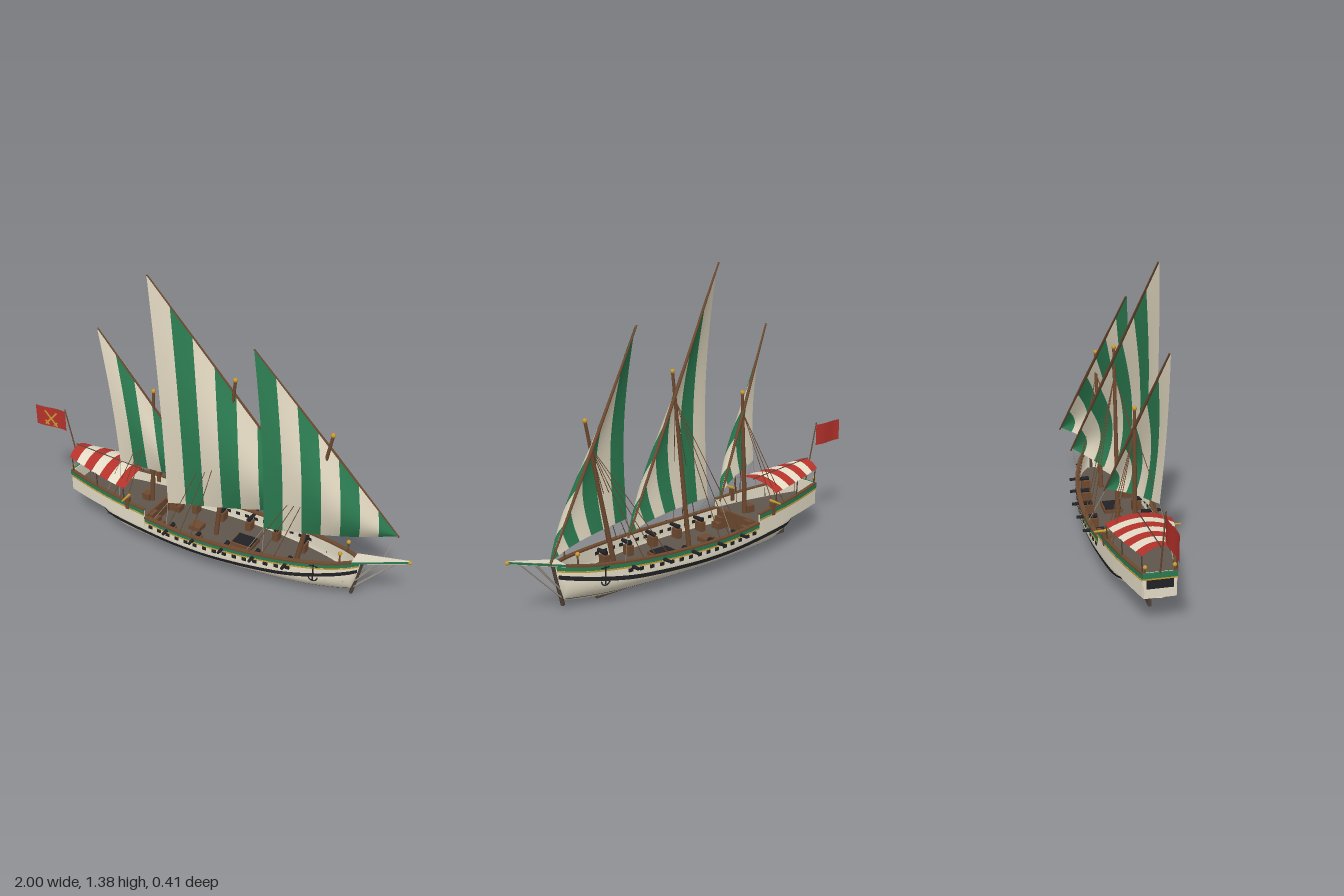
import * as THREE from 'three';

const mat = (name, color, side = THREE.FrontSide) => {
  const m = new THREE.MeshStandardMaterial({ color, side });
  m.name = name;
  return m;
};
const D = THREE.DoubleSide;
const V = (x, y, z) => new THREE.Vector3(x, y, z);

// Smooth monotone interpolation through a short table of [x, value]
function curve(t) {
  const n = t.length, d = [], m = [];
  for (let i = 0; i < n - 1; i++) d.push((t[i + 1][1] - t[i][1]) / (t[i + 1][0] - t[i][0]));
  for (let i = 0; i < n; i++) {
    const a = d[Math.max(0, i - 1)], b = d[Math.min(n - 2, i)];
    m.push(a * b <= 0 ? 0 : 2 * a * b / (a + b));
  }
  return (x) => {
    x = Math.min(Math.max(x, t[0][0]), t[n - 1][0]);
    let i = 0;
    while (i < n - 2 && x > t[i + 1][0]) i++;
    const h = t[i + 1][0] - t[i][0], s = (x - t[i][0]) / h, q = s * s, c = q * s;
    return (2 * c - 3 * q + 1) * t[i][1] + (c - 2 * q + s) * h * m[i] + (3 * q - 2 * c) * t[i + 1][1] + (c - q) * h * m[i + 1];
  };
}

// Hull lines: half beam, keel height, rail height, poop rail height
const beam = curve([[-0.75, 0.065], [-0.6, 0.102], [-0.45, 0.13], [-0.26, 0.151], [-0.1, 0.163], [0.05, 0.167], [0.2, 0.16], [0.4, 0.137], [0.55, 0.106], [0.65, 0.075], [0.72, 0.042], [0.77, 0.006]]);
const keelY = curve([[-0.75, 0.14], [-0.62, 0.127], [-0.55, 0.105], [-0.5, 0.06], [-0.45, 0.03], [-0.38, 0.01], [0.52, 0.01], [0.64, 0.022], [0.735, 0.045], [0.77, 0.16]]);
const rail = curve([[-0.75, 0.2], [-0.26, 0.175], [0, 0.166], [0.3, 0.171], [0.6, 0.186], [0.77, 0.203]]);
const poop = (x) => 0.25 - (x + 0.75) * 0.061;
const wale = curve([[-0.56, 0.114], [0, 0.088], [0.4, 0.1], [0.76, 0.15]]);
const width = (x, y) => {
  const s = Math.min(1, Math.max(0, (y - keelY(x)) / (0.6 * (rail(x) - keelY(x)))));
  return beam(x) * Math.pow(1 - (1 - s) * (1 - s), 0.75);
};
const steps = (a, b, n) => Array.from({ length: n + 1 }, (_, i) => a + (b - a) * i / n);

// Skin over a row of cross-sections
function skin(rings, { closed = false, flat = false, stripes = 0 } = {}) {
  const n = rings[0].length, idx = [], span = closed ? n : n - 1;
  for (let i = 0; i < rings.length - 1; i++)
    for (let j = 0; j < span; j++) {
      const a = i * n + j, b = i * n + (j + 1) % n;
      idx.push(a, b, a + n, b, b + n, a + n);
    }
  if (closed) for (const o of [0, (rings.length - 1) * n])
    for (let j = 1; j < n - 1; j++) idx.push(o, o + j, o + j + 1);
  let g = new THREE.BufferGeometry().setFromPoints(rings.flat());
  g.setIndex(idx);
  if (flat) g = g.toNonIndexed();
  g.computeVertexNormals();
  if (stripes) {
    const per = (rings.length - 1) / stripes * span * 6;
    for (let k = 0; k < stripes; k++) g.addGroup(k * per, per, k % 2);
  }
  return g;
}

export function createModel() {
  const root = new THREE.Group();
  root.name = 'sailingShip';
  const hullCream = mat('hullCream', 0xe4dcc6, D), sailCream = mat('sailCream', 0xddd4bd, D);
  const green = mat('green', 0x2b7a50, D), red = mat('red', 0xb5322b, D);
  const wood = mat('wood', 0x6e4a30, D), darkWood = mat('darkWood', 0x4f4338, D);
  const black = mat('black', 0x222226, D), gold = mat('gold', 0xc99a32, D);
  const deckMat = mat('deck', 0x5f554d, D), rope = mat('rope', 0xa0988a);

  const add = (name, g, m) => {
    const o = new THREE.Mesh(g, m);
    o.name = name;
    root.add(o);
    return o;
  };
  const box = (name, m, x, y, z, w, h, d) => {
    const o = add(name, new THREE.BoxGeometry(w, h, d), m);
    o.position.set(x, y, z);
    return o;
  };
  const ball = (name, m, x, y, z, r) => add(name, new THREE.SphereGeometry(r, 10, 8), m).position.set(x, y, z);
  const rod = (name, m, a, b, r0, r1 = r0, seg = 6) => {
    const o = add(name, new THREE.CylinderGeometry(r1, r0, a.distanceTo(b), seg), m);
    o.position.copy(a).lerp(b, 0.5);
    o.quaternion.setFromUnitVectors(V(0, 1, 0), b.clone().sub(a).normalize());
  };
  const both = (f) => [1, -1].forEach(f);

  // Painted band following both hull sides
  const band = (name, m, x0, x1, lo, hi, off) => both((s) => add(name, skin(steps(x0, x1, 48).map((x) =>
    [lo, hi].map((f) => V(x, f(x), s * (width(x, f(x)) + off))))), m));
  // Solid rail with a rectangular section along both sides
  const beamRail = (name, m, x0, x1, lo, hi, inn, out) => both((s) => add(name, skin(steps(x0, x1, 40).map((x) => {
    const w = width(x, hi(x)), i = s * Math.max(0, w + inn), o = s * (w + out);
    return [V(x, lo(x), i), V(x, lo(x), o), V(x, hi(x), o), V(x, hi(x), i)];
  }), { closed: true, flat: true }), m));
  const deck = (name, m, x0, x1, y) => add(name, skin(steps(x0, x1, 30).map((x) => {
    const w = width(x, y);
    return [V(x, y, w), V(x, y, -w)];
  })), m);

  // Hull shell
  add('hull', skin(steps(-0.75, 0.77, 90).map((x) => {
    const k = keelY(x), r = rail(x);
    return steps(-1, 1, 28).map((t) => {
      const y = k + (r - k) * Math.pow(Math.abs(t), 1.6);
      return V(x, y, Math.sign(t) * width(x, y));
    });
  })), hullCream);
  band('wale', black, -0.54, 0.762, (x) => wale(x) - 0.005, (x) => wale(x) + 0.014, 0.004);
  band('lowerLine', darkWood, -0.46, 0.73, () => 0.046, () => 0.05, 0.002);
  band('greenBand', green, -0.26, 0.768, (x) => rail(x) - 0.018, rail, 0.004);
  band('goldBand', gold, -0.26, 0.768, (x) => rail(x) - 0.025, (x) => rail(x) - 0.018, 0.005);
  beamRail('railCap', wood, -0.26, 0.768, rail, (x) => rail(x) + 0.008, -0.014, 0.007);
  box('keel', darkWood, 0.09, 0.007, 0, 0.96, 0.014, 0.014);
  rod('stem', darkWood, V(0.737, 0.02, 0), V(0.778, 0.205, 0), 0.009);
  box('rudder', darkWood, -0.56, 0.075, 0, 0.058, 0.13, 0.014);

  // Decks and poop
  deck('mainDeck', deckMat, -0.28, 0.745, 0.098);
  deck('poopDeck', deckMat, -0.745, -0.262, 0.178);
  beamRail('poopSide', hullCream, -0.745, -0.26, (x) => 0.146 - (x + 0.75) * 0.03, poop, -0.004, 0.004);
  band('poopGreenBand', green, -0.748, -0.26, (x) => poop(x) - 0.022, poop, 0.006);
  band('poopGoldBand', gold, -0.748, -0.26, (x) => poop(x) - 0.03, (x) => poop(x) - 0.022, 0.007);
  beamRail('poopCap', wood, -0.748, -0.26, poop, (x) => poop(x) + 0.006, -0.01, 0.008);
  box('poopBulkhead', wood, -0.264, 0.138, 0, 0.01, 0.084, 0.28);
  box('transom', hullCream, -0.744, 0.198, 0, 0.01, 0.11, 0.134);
  box('transomBand', green, -0.748, 0.242, 0, 0.008, 0.024, 0.142);
  box('transomPanel', black, -0.748, 0.206, 0, 0.006, 0.042, 0.11);
  box('transomGold', gold, -0.748, 0.228, 0, 0.009, 0.006, 0.142);

  // Beakhead
  const beak = (x) => { const t = (x - 0.74) / 0.245; return [0.2 + 0.07 * t, 0.034 * (1 - t) + 0.004]; };
  const beakSlab = (name, m, lo, hi, grow) => add(name, skin([0.74, 0.985].map((x) => {
    const [y, w] = beak(x), z = w + grow;
    return [V(x, y + lo, z), V(x, y + hi, z), V(x, y + hi, -z), V(x, y + lo, -z)];
  }), { closed: true, flat: true }), m);
  beakSlab('beak', hullCream, 0, 0.013, -0.001);
  beakSlab('beakSide', green, 0.002, 0.011, 0.001);
  ball('beakTip', gold, 0.986, 0.275, 0, 0.009);
  both((s) => {
    rod('bobstay', rope, V(0.748, 0.06, s * 0.006), V(0.93, 0.254, s * 0.006), 0.003);
    rod('beakBrace', rope, V(0.755, 0.1, s * 0.01), V(0.86, 0.235, s * 0.016), 0.003);
  });

  // Guns, oar ports and bulwark fittings
  both((s) => {
    for (const x of [-0.13, 0.015, 0.165, 0.315, 0.465]) {
      const w = width(x, 0.16);
      rod('cannon', black, V(x, 0.156, s * (w - 0.06)), V(x, 0.156, s * (w + 0.037)), 0.011, 0.007, 10);
      box('gunCarriage', wood, x, 0.122, s * (w - 0.045), 0.028, 0.046, 0.045);
    }
    for (let x = -0.225; x < 0.5; x += 0.05)
      box('oarPort', black, x, rail(x) - 0.036, s * (width(x, 0.13) + 0.001), 0.02, 0.015, 0.008);
    const w = width(-0.36, 0.23);
    box('swivelPost', wood, -0.36, 0.225, s * w, 0.02, 0.06, 0.022);
    rod('swivelGun', gold, V(-0.36, 0.262, s * (w - 0.015)), V(-0.36, 0.26, s * (w + 0.05)), 0.007, 0.004, 8);
    rod('bowPost', wood, V(0.69, 0.195, s * 0.05), V(0.69, 0.24, s * 0.05), 0.004);
    ball('bowLantern', gold, 0.69, 0.248, s * 0.05, 0.01);
    rod('lanternPost', wood, V(-0.742, 0.24, s * 0.06), V(-0.742, 0.272, s * 0.06), 0.003);
    ball('sternLantern', gold, -0.742, 0.278, s * 0.06, 0.009);
    // Anchor
    const az = width(0.59, 0.14) + 0.008;
    rod('anchorShank', black, V(0.59, 0.1, s * az), V(0.59, 0.185, s * az), 0.003);
    rod('anchorStock', black, V(0.57, 0.178, s * az), V(0.61, 0.178, s * az), 0.003);
    const fluke = add('anchorArms', new THREE.TorusGeometry(0.022, 0.003, 6, 12, Math.PI), black);
    fluke.position.set(0.59, 0.122, s * az);
    fluke.rotation.z = Math.PI;
    [0, 1, 2].forEach((i) => box('poopStep', wood, -0.25 + i * 0.02, 0.137 - i * 0.012, s * 0.09, 0.02, 0.08 - i * 0.024, 0.05));
  });
  // Deck fittings
  box('hatchCoaming', wood, 0.2, 0.106, 0, 0.11, 0.018, 0.09);
  box('hatchGrating', black, 0.2, 0.117, 0, 0.095, 0.006, 0.075);
  box('smallHatch', wood, -0.06, 0.108, 0, 0.06, 0.022, 0.06);
  box('wheelBox', wood, -0.34, 0.195, 0, 0.04, 0.035, 0.04);

  // Striped awning on posts
  const awnX = steps(-0.75, -0.375, 14);
  const awnY = (x) => 0.366 - (x + 0.745) * 0.08, awnW = (x) => beam(x) + 0.008;
  add('awning', skin(awnX.map((x) => steps(-1, 1, 12).map((t) => V(x, awnY(x) - 0.036 * t * t, t * awnW(x)))), { stripes: 7 }), [red, hullCream]);
  rod('awningRidge', darkWood, V(-0.76, 0.367, 0), V(-0.37, 0.336, 0), 0.003);
  for (const x of [-0.735, -0.56, -0.385]) both((s) =>
    rod('awningPost', darkWood, V(x, 0.18, s * (beam(x) - 0.004)), V(x, awnY(x) - 0.034, s * (awnW(x) - 0.004)), 0.003));

  // Flag with crossed blades on its front face
  rod('flagpole', wood, V(-0.746, 0.24, 0), V(-0.818, 0.545, 0), 0.004, 0.003);
  const wave = (x) => 0.005 * Math.sin((x + 0.82) * 32);
  add('flag', skin(steps(-1, -0.818, 12).map((x) => [V(x, 0.425, wave(x)), V(x, 0.532, wave(x))])), red);
  both((s) => {
    const blade = box('flagBlade', gold, -0.905, 0.475, 0.0065, 0.105, 0.009, 0.002);
    blade.rotation.z = s * 0.8;
    const hilt = box('flagHilt', gold, -0.905 - s * 0.026, 0.449, 0.007, 0.03, 0.008, 0.002);
    hilt.rotation.z = s * 0.8 + Math.PI / 2;
  });

  // Masts, yards, sails and rigging
  const rigs = [
    { name: 'mizzen', foot: V(-0.312, 0.178, 0), top: V(-0.288, 0.77, 0), peak: V(-0.52, 1.07, 0.09), tack: V(-0.07, 0.325, -0.08), clew: V(-0.44, 0.4, 0.075), n: 6, cols: [sailCream, green], belly: 0.048, sh: [-0.45, -0.41, -0.37] },
    { name: 'main', foot: V(0.045, 0.098, 0), top: V(0.136, 0.925, 0), peak: V(-0.23, 1.375, 0.115), tack: V(0.5, 0.31, -0.14), clew: V(-0.16, 0.265, 0.1), n: 8, cols: [sailCream, green], belly: 0.075, sh: [-0.13, -0.06, 0] },
    { name: 'fore', foot: V(0.465, 0.098, 0), top: V(0.6, 0.78, 0), peak: V(0.267, 1.135, 0.09), tack: V(0.88, 0.29, -0.14), clew: V(0.335, 0.28, 0.085), n: 7, cols: [green, sailCream], belly: 0.07, sh: [0.29, 0.35, 0.41] },
  ];
  for (const r of rigs) {
    rod(r.name + 'Mast', wood, r.foot, r.top, 0.012, 0.007, 10);
    ball(r.name + 'MastBall', gold, r.top.x, r.top.y + 0.006, 0, 0.011);
    const mid = r.peak.clone().lerp(r.tack, 0.55), back = V(-0.003, 0, -0.006);
    const ext = r.tack.clone().add(r.tack.clone().sub(r.peak).setLength(0.012));
    rod(r.name + 'YardUpper', wood, mid.clone().add(back), r.peak.clone().add(back), 0.008, 0.004, 8);
    rod(r.name + 'YardLower', wood, mid.clone().add(back), ext.add(back), 0.008, 0.004, 8);
    const dir = r.tack.clone().sub(r.clew), nrm = V(-dir.z, 0, dir.x).normalize();
    add(r.name + 'Sail', skin(steps(0, 1, r.n * 4).map((u) => steps(0, 1, 18).map((v) => {
      const p = r.peak.clone().lerp(r.tack, u).lerp(r.clew.clone().lerp(r.tack, u), v);
      p.x += 0.015 * Math.sin(Math.PI * v) * (1 - u);
      return p.addScaledVector(nrm, r.belly * (0.3 * Math.sin(Math.PI * v) * (1 - u) + 0.9 * Math.sin(2.7 * v) * Math.sin(Math.PI * Math.pow(u, 1.2))));
    })), { stripes: r.n }), r.cols);
    // Shrouds, sheets and tack line
    const hang = r.foot.clone().lerp(r.top, 0.85);
    const railAt = (x) => (x < -0.26 ? poop(x) : rail(x));
    both((s) => {
      for (const x of r.sh) rod(r.name + 'Shroud', wood, V(x, railAt(x), s * width(x, 0.17)), hang, 0.002, 0.0015, 5);
      const cx = r.clew.x + s * 0.04 - 0.02;
      rod(r.name + 'Sheet', rope, V(cx, railAt(cx), width(cx, 0.17) - 0.01), r.clew, 0.0015, 0.0015, 4);
    });
    const bow = r.tack.x > 0.7, tx = bow ? 0.86 : r.tack.x;
    rod(r.name + 'TackLine', rope, r.tack, V(tx, bow ? 0.24 : 0.17, bow ? 0 : -width(tx, 0.17)), 0.0015, 0.0015, 4);
  }
  return root;
}
